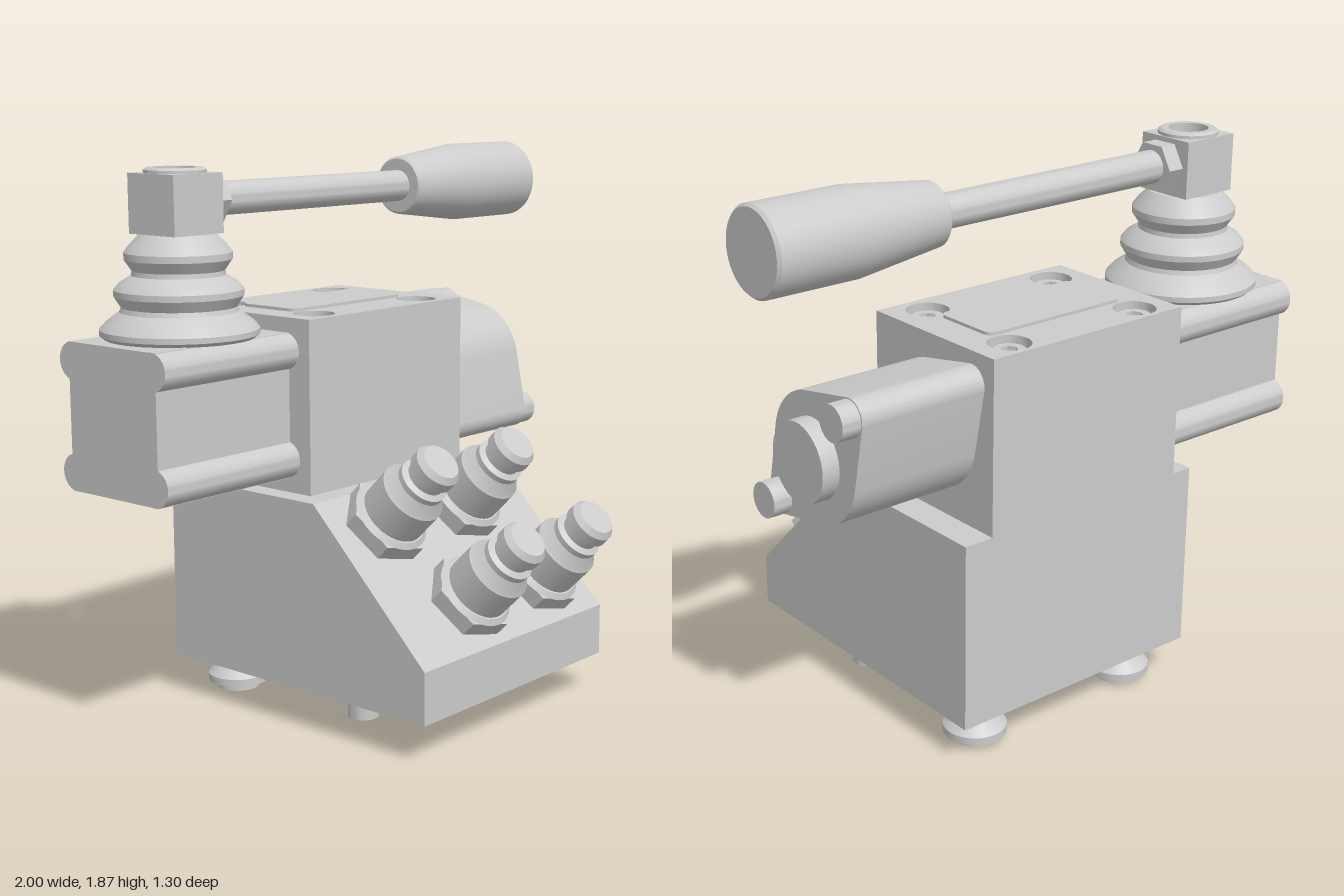
import * as THREE from 'three';
import { toCreasedNormals } from 'three/addons/utils/BufferGeometryUtils.js';

const material = new THREE.MeshStandardMaterial({ color: 0xcccccc });
const Z = -0.37; // depth of the valve axis

function part(parent, name, geometry, x = 0, y = 0, z = 0) {
  const mesh = new THREE.Mesh(geometry, material);
  mesh.name = name;
  mesh.position.set(x, y, z);
  parent.add(mesh);
  return mesh;
}
const box = (w, h, d) => new THREE.BoxGeometry(w, h, d);
// turned part, [radius, height] pairs from bottom to top
const turned = (pts, seg = 40) =>
  toCreasedNormals(new THREE.LatheGeometry(pts.map(p => new THREE.Vector2(...p)), seg), 0.5);
const rod = (r, len, seg = 40) => turned([[0, 0], [r, 0], [r, len], [0, len]], seg);
const alongX = g => g.rotateZ(-Math.PI / 2);
const extrude = (shape, depth) =>
  toCreasedNormals(new THREE.ExtrudeGeometry(shape, { depth, bevelEnabled: false, curveSegments: 24 }), 0.5);
const extrudeX = (shape, depth) => extrude(shape, depth).rotateY(Math.PI / 2); // shape is (-z, y)
const extrudeY = (shape, depth) => extrude(shape, depth).rotateX(-Math.PI / 2); // shape is (x, -z)
const polygon = pts => new THREE.Shape(pts.map(p => new THREE.Vector2(...p)));
const circle = (x, y, r) => new THREE.Path().absarc(x, y, r, 0, Math.PI * 2);
const hexagon = r => new THREE.Path(Array.from({ length: 6 }, (_, i) =>
  new THREE.Vector2(r * Math.cos(i * Math.PI / 3), r * Math.sin(i * Math.PI / 3))));

// disc with a hexagonal socket and a floor below it
function socketHead(parent, name, r, h, x, y, z) {
  const s = new THREE.Shape().absarc(0, 0, r, 0, Math.PI * 2);
  s.holes.push(hexagon(r * 0.55));
  part(parent, name, extrudeY(s, h), x, y, z);
  part(parent, name + 'Floor', rod(r * 0.9, h * 0.3), x, y, z);
}

function roundedRect(x0, y0, x1, y1, r) {
  const s = new THREE.Shape();
  s.absarc(x1 - r, y0 + r, r, -Math.PI / 2, 0);
  s.absarc(x1 - r, y1 - r, r, 0, Math.PI / 2);
  s.absarc(x0 + r, y1 - r, r, Math.PI / 2, Math.PI);
  s.absarc(x0 + r, y0 + r, r, Math.PI, Math.PI * 1.5);
  return s;
}

// round housing with two diagonal bolt ears
function earedOutline(R, r, d) {
  const phi = Math.acos((R - r) / d), t = Math.PI / 4, c = d * Math.SQRT1_2;
  const s = new THREE.Shape();
  s.absarc(c, c, r, t - phi, t + phi);
  s.absarc(0, 0, R, t + phi, t + Math.PI - phi);
  s.absarc(-c, -c, r, t + Math.PI - phi, t + Math.PI + phi);
  s.absarc(0, 0, R, t + Math.PI + phi, t + Math.PI * 2 - phi);
  return s;
}

function coupling() {
  const g = new THREE.Group();
  g.name = 'hoseCoupling';
  // hexagonal nut with a chamfered rim
  const nut = new THREE.CylinderGeometry(0.148, 0.148, 0.06, 6).toNonIndexed();
  nut.computeVertexNormals();
  part(g, 'hexNut', nut.rotateY(Math.PI / 12), 0, 0.03, 0);
  part(g, 'nutCollar', turned([[0, 0.06], [0.135, 0.06], [0.118, 0.075], [0, 0.075]]));
  part(g, 'couplingBody', turned([
    [0.113, 0.06], [0.113, 0.19], [0.105, 0.2], [0.085, 0.235], [0.085, 0.255], [0.066, 0.265],
    [0.066, 0.29], [0.08, 0.298], [0.08, 0.335], [0.064, 0.355], [0, 0.355]]));
  g.rotation.x = Math.PI / 4;
  return g;
}

export function createModel() {
  const model = new THREE.Group();
  model.name = 'leverValve';

  // manifold with sloping front
  const base = polygon([[-0.465, 0.13], [0.66, 0.13], [0.66, 0.77], [0, 0.77], [-0.465, 0.305]]);
  part(model, 'manifold', extrudeX(base, 0.96), -0.495);

  // couplings standing square to the slope
  for (const [x, y] of [[-0.275, 0.67], [0.125, 0.67], [-0.135, 0.43], [0.245, 0.43]]) {
    const c = coupling();
    c.position.set(x, y, 0.77 - y);
    model.add(c);
  }

  // feet: plain pegs in front, flared pads behind
  for (const x of [-0.318, 0.323]) {
    part(model, 'frontFoot', turned([
      [0, 0.04], [0.028, 0.04], [0.028, 0.022], [0.052, 0.022], [0.052, 0.095],
      [0.09, 0.095], [0.105, 0.107], [0.105, 0.13], [0, 0.13]]), x, 0, 0.055);
    part(model, 'rearFoot', turned([
      [0, 0.02], [0.03, 0.02], [0.03, 0], [0.075, 0], [0.075, 0.015], [0.105, 0.025],
      [0.105, 0.05], [0.062, 0.09], [0.062, 0.13]]), x, 0, -0.535);
  }

  // valve body with counterbored screws
  part(model, 'valveBody', box(0.78, 0.5, 0.58), -0.03, 1.02, Z);
  const deck = polygon([[-0.42, 0.08], [0.36, 0.08], [0.36, 0.66], [-0.42, 0.66]]);
  for (const x of [-0.295, 0.228]) for (const z of [-0.575, -0.175]) {
    deck.holes.push(circle(x, -z, 0.07));
    socketHead(model, 'capScrew', 0.052, 0.06, x, 1.27, z);
  }
  part(model, 'valveDeck', extrudeY(deck, 0.08), 0, 1.27);
  part(model, 'topPlate', extrudeY(roundedRect(-0.31, 0.25, 0.24, 0.497, 0.03), 0.01), 0, 1.35);

  // lever housing with a rounded rib on each long edge
  part(model, 'leverHousing', box(0.58, 0.48, 0.4), -0.71, 1.06, Z);
  for (const sy of [-1, 1]) for (const sz of [-1, 1])
    part(model, 'housingRib', alongX(rod(0.061, 0.58)), -1, 1.06 + sy * 0.18, Z + sz * 0.183);

  // end cap
  part(model, 'endCap', extrudeX(earedOutline(0.208, 0.062, 0.262), 0.45), 0.36, 1.06, Z);
  part(model, 'capPlug', alongX(rod(0.13, 0.06)), 0.81, 1.06, Z);
  for (const s of [-1, 1])
    part(model, 'capBolt', alongX(rod(0.058, 0.065)), 0.81, 1.06 + s * 0.185, Z - s * 0.185);

  // bellows boot
  part(model, 'boot', turned([
    [0, 0], [0.24, 0], [0.255, 0.012], [0.255, 0.03], [0.235, 0.052], [0.19, 0.085], [0.185, 0.1],
    [0.207, 0.135], [0.207, 0.155], [0.19, 0.175], [0.15, 0.2], [0.148, 0.215],
    [0.172, 0.25], [0.172, 0.272], [0.155, 0.295], [0.12, 0.33], [0, 0.33]], 48), -0.71, 1.3, Z);

  // lever head, bored from above
  const head = polygon([[-0.105, -0.105], [0.105, -0.105], [0.105, 0.105], [-0.105, 0.105]]);
  head.holes.push(circle(0, 0, 0.066));
  part(model, 'leverHead', extrudeY(head, 0.19), -0.715, 1.63, Z);
  part(model, 'headRim', turned([
    [0.066, 0.19], [0.1, 0.19], [0.1, 0.2], [0.09, 0.207], [0.066, 0.207], [0.066, 0.19]]), -0.715, 1.63, Z);
  part(model, 'headStud', rod(0.066, 0.15), -0.715, 1.63, Z);
  part(model, 'studKey', box(0.12, 0.02, 0.06), -0.715, 1.785, Z);

  // lever
  const lockNut = new THREE.CylinderGeometry(0.085, 0.085, 0.06, 6).toNonIndexed();
  lockNut.computeVertexNormals();
  part(model, 'lockNut', alongX(lockNut), -0.58, 1.73, Z);
  part(model, 'leverRod', alongX(rod(0.055, 0.93)), -0.56, 1.73, Z);
  part(model, 'leverGrip', alongX(turned([
    [0, 0], [0.095, 0], [0.102, 0.007], [0.139, 0.31], [0.139, 0.63], [0.13, 0.64], [0, 0.64]], 48)), 0.36, 1.73, Z);

  return model;
}
